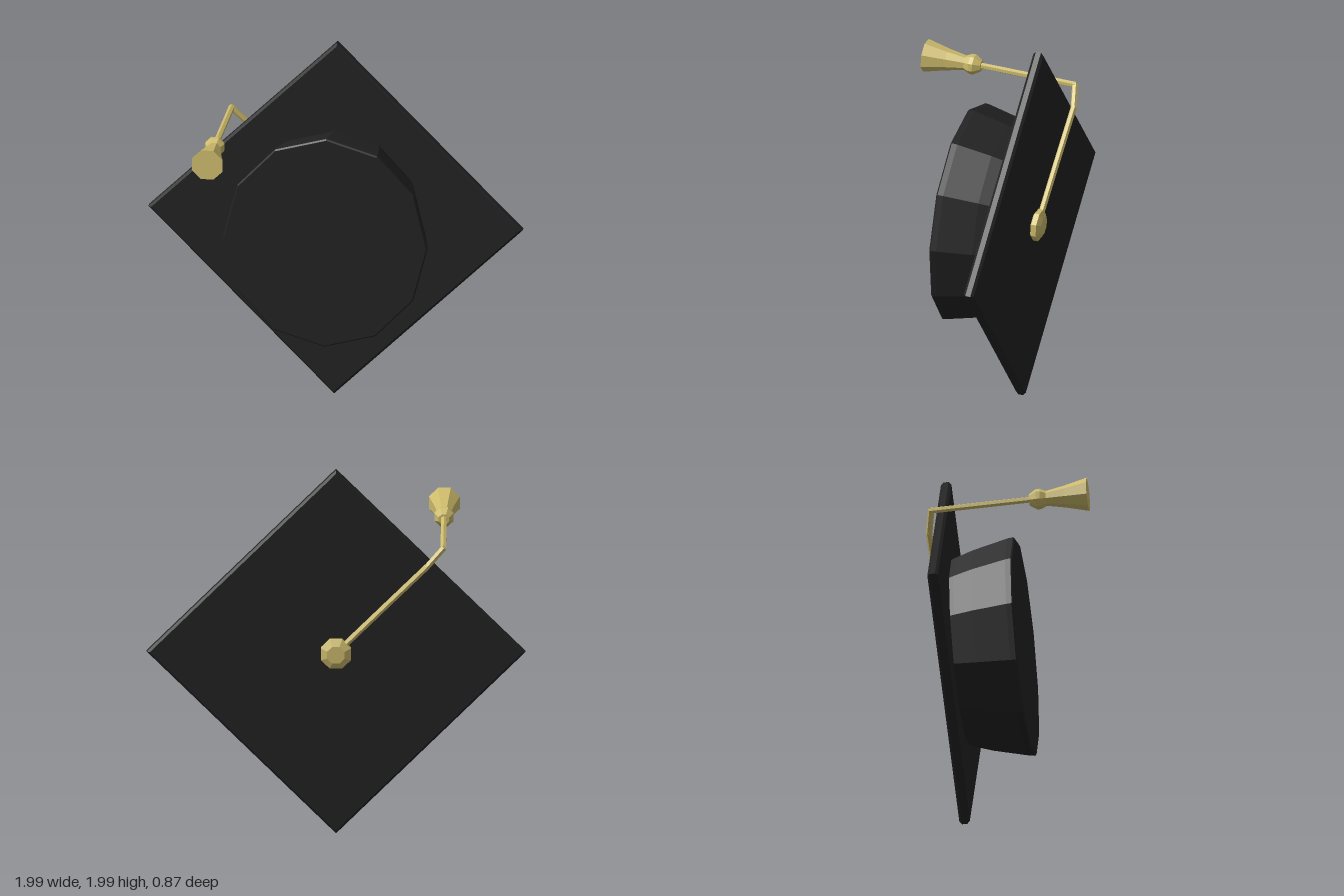
import * as THREE from 'three';

export function createModel() {
  const black = new THREE.MeshStandardMaterial({ color: 0x222222, flatShading: true });
  black.name = 'black cloth';
  const gold = new THREE.MeshStandardMaterial({ color: 0xcdbb6c, flatShading: true });
  gold.name = 'gold thread';

  const model = new THREE.Group();
  model.name = 'graduationCap';
  // Everything is laid out around the board centre, then leaned back slightly
  const cap = new THREE.Group();
  cap.name = 'tiltedCap';
  cap.position.set(0, 1, -0.345);
  cap.rotation.x = -0.05;
  model.add(cap);

  const add = (name, geometry, material) => {
    const mesh = new THREE.Mesh(geometry, material);
    mesh.name = name;
    cap.add(mesh);
    return mesh;
  };

  // Faceted solid turned around the z axis from [radius, z] pairs
  const turned = (profile, sides, phase = 0) =>
    new THREE.LatheGeometry(profile.map(([r, z]) => new THREE.Vector2(r, z)), sides, phase)
      .rotateX(Math.PI / 2);

  // Square board standing on a corner, with bevelled rim
  add('board', turned([
    [0, -0.028], [0.98, -0.028], [0.997, -0.014],
    [0.997, 0.014], [0.98, 0.028], [0, 0.028],
  ], 4), black);

  // Twelve-sided oval crown, closed at the head end
  const crown = turned([
    [0, 0], [0.452, 0], [0.47, 0.05], [0.5, 0.15],
    [0.541, 0.335], [0.545, 0.365], [0.538, 0.373], [0, 0.373],
  ], 12);
  crown.scale(1, 1.083, 1);
  add('crown', crown, black);

  // Button in the middle of the board
  add('button', turned([
    [0, -0.08], [0.05, -0.08], [0.085, -0.062], [0.085, -0.035], [0.06, -0.02], [0, -0.02],
  ], 8, Math.PI / 8), gold);

  // Cord over the board, round its edge and forward to the tassel
  const path = [
    [0, 0, -0.045], [-0.25, 0.25, -0.05], [-0.48, 0.48, -0.056],
    [-0.565, 0.572, -0.03], [-0.565, 0.58, 0.52],
  ].map((p) => new THREE.Vector3(...p));
  const up = new THREE.Vector3(0, 1, 0);
  for (let i = 1; i < path.length; i++) {
    const dir = path[i].clone().sub(path[i - 1]);
    const length = dir.length();
    const piece = add('cord' + i, new THREE.CylinderGeometry(0.017, 0.017, length + 0.01, 6), gold);
    piece.position.copy(path[i]).add(path[i - 1]).multiplyScalar(0.5);
    piece.quaternion.setFromUnitVectors(up, dir.normalize());
  }

  // Knot and flared tassel
  const knot = add('tasselKnot', turned([
    [0, 0.492], [0.03, 0.492], [0.054, 0.53], [0.054, 0.552], [0.038, 0.585], [0, 0.585],
  ], 8, Math.PI / 8), gold);
  const tassel = add('tassel', turned([
    [0, 0.575], [0.038, 0.575], [0.058, 0.68], [0.088, 0.803], [0, 0.803],
  ], 8, Math.PI / 8), gold);
  for (const part of [knot, tassel]) part.position.set(-0.565, 0.578, 0);

  return model;
}
